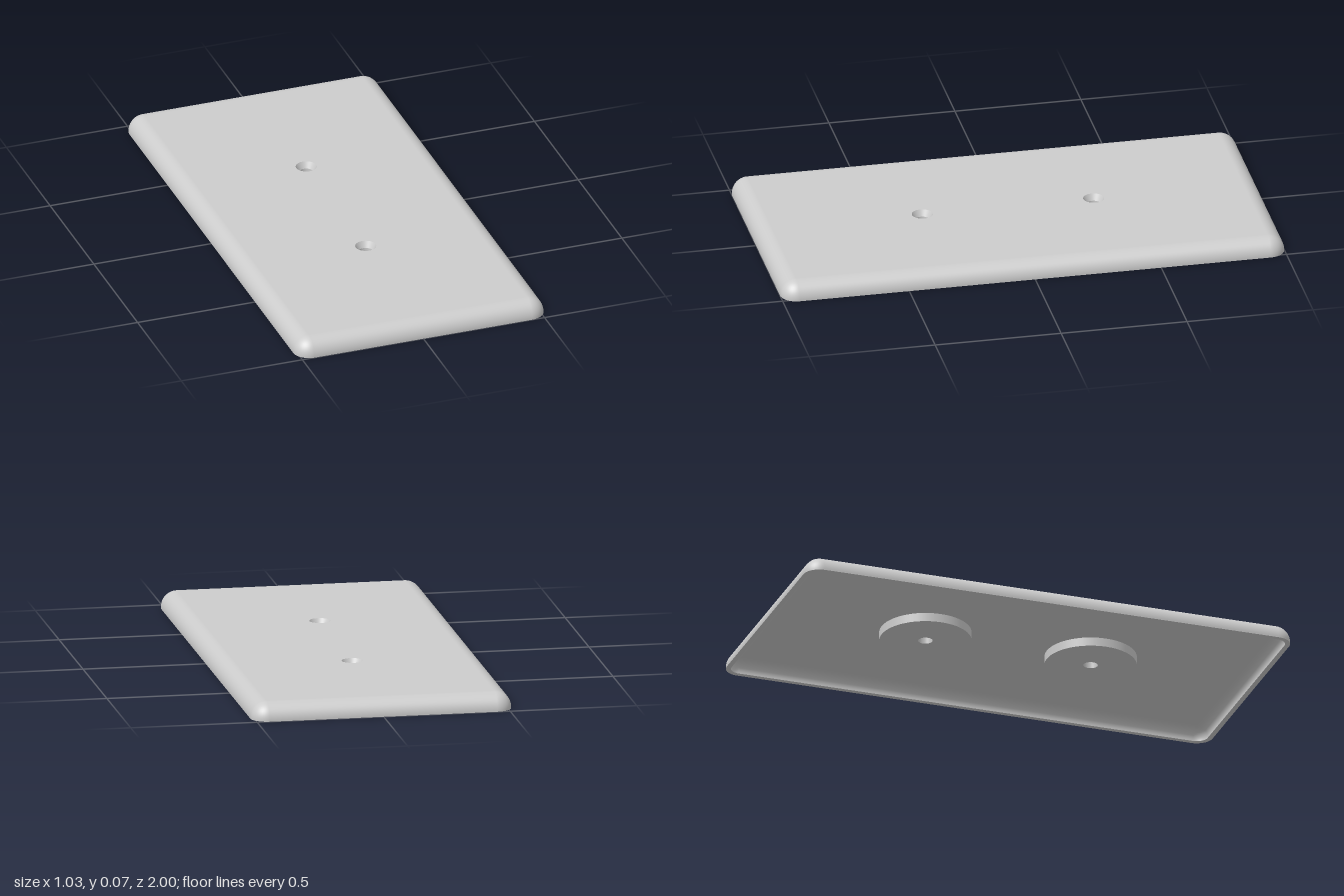
import * as THREE from 'three';

const HX = 0.45, HZ = 0.935;          // half size of the flat top
const Y0 = 0.005;                     // height where the rounded edge begins
const R_OUT = 0.065, R_IN = 0.045;    // outer and inner edge radii
const HOLE_Z = 0.34, BOSS_R = 0.18, BOSS_Y = 0.015;
const SINK_R = 0.041, HOLE_R = 0.028;
const TOP = Y0 + R_OUT, CEILING = Y0 + R_IN;

// Corner centre and outward angle for each step round the plate
function outline(steps = 10) {
  const list = [];
  [[1, 1], [-1, 1], [-1, -1], [1, -1]].forEach(([sx, sz], q) => {
    for (let i = 0; i <= steps; i++) {
      list.push({ x: sx * HX, z: sz * HZ, a: (q + i / steps) * Math.PI / 2 });
    }
  });
  return list;
}

// Quarter-round edge swept round the plate, facing outward or inward
function edgeGeometry(r, inward) {
  const ring = outline(), n = ring.length, rows = 12;
  const pos = [], nor = [], idx = [], s = inward ? -1 : 1;
  for (let j = 0; j <= rows + 1; j++) {
    const phi = Math.max(0, j - 1) / rows * Math.PI / 2;
    const c = Math.cos(phi), h = Math.sin(phi);
    for (const { x, z, a } of ring) {
      const nx = c * Math.cos(a), nz = c * Math.sin(a);
      pos.push(x + r * nx, j === 0 ? 0 : Y0 + r * h, z + r * nz);
      nor.push(s * nx, s * h, s * nz);
    }
  }
  for (let j = 0; j <= rows; j++) {
    for (let i = 0; i < n; i++) {
      const a = j * n + i, b = j * n + (i + 1) % n, c = a + n, d = b + n;
      if (inward) idx.push(a, b, c, b, d, c);
      else idx.push(a, c, b, b, c, d);
    }
  }
  const g = new THREE.BufferGeometry();
  g.setAttribute('position', new THREE.Float32BufferAttribute(pos, 3));
  g.setAttribute('normal', new THREE.Float32BufferAttribute(nor, 3));
  g.setIndex(idx);
  return g;
}

function roundedPoints(r) {
  return outline().map(({ x, z, a }) =>
    new THREE.Vector2(x + r * Math.cos(a), z + r * Math.sin(a)));
}

// Flat panel with two round openings, facing up (1) or down (-1)
function panelGeometry(holeR, facing, y) {
  const shape = new THREE.Shape([[-HX, -HZ], [HX, -HZ], [HX, HZ], [-HX, HZ]]
    .map(p => new THREE.Vector2(...p)));
  for (const z of [-HOLE_Z, HOLE_Z]) {
    shape.holes.push(new THREE.Path().absarc(0, z, holeR, 0, Math.PI * 2, true));
  }
  return new THREE.ShapeGeometry(shape, 24)
    .rotateX(-facing * Math.PI / 2).translate(0, y, 0);
}

export function createModel() {
  const model = new THREE.Group();
  model.name = 'blankCoverPlate';
  const plastic = new THREE.MeshStandardMaterial({ color: 0xcccccc });
  plastic.name = 'lightGrey';

  const add = (name, geometry, parent = model) => {
    const mesh = new THREE.Mesh(geometry, plastic);
    mesh.name = name;
    parent.add(mesh);
    return mesh;
  };

  // Hollow shell
  add('topFace', panelGeometry(SINK_R, 1, TOP));
  add('roundedEdge', edgeGeometry(R_OUT, false));
  add('innerEdge', edgeGeometry(R_IN, true));
  add('underside', panelGeometry(BOSS_R, -1, CEILING));

  // Flat rim the plate stands on
  const rim = new THREE.Shape(roundedPoints(R_OUT));
  rim.holes.push(new THREE.Path(roundedPoints(R_IN)));
  add('bottomRim', new THREE.ShapeGeometry(rim).rotateX(Math.PI / 2));

  // Round bosses with countersunk screw holes
  const sinkY = TOP - 0.025;
  const surfaces = [
    ['countersink', [SINK_R, TOP], [HOLE_R, sinkY]],
    ['screwHole', [HOLE_R, sinkY], [HOLE_R, BOSS_Y]],
    ['bossFace', [HOLE_R, BOSS_Y], [BOSS_R, BOSS_Y]],
    ['bossWall', [BOSS_R, BOSS_Y], [BOSS_R, CEILING]],
  ];
  for (const side of [1, -1]) {
    const boss = new THREE.Group();
    boss.name = side > 0 ? 'frontBoss' : 'backBoss';
    boss.position.z = side * HOLE_Z;
    for (const [name, p, q] of surfaces) {
      const points = [new THREE.Vector2(...p), new THREE.Vector2(...q)];
      add(name, new THREE.LatheGeometry(points, 48), boss);
    }
    model.add(boss);
  }
  return model;
}
